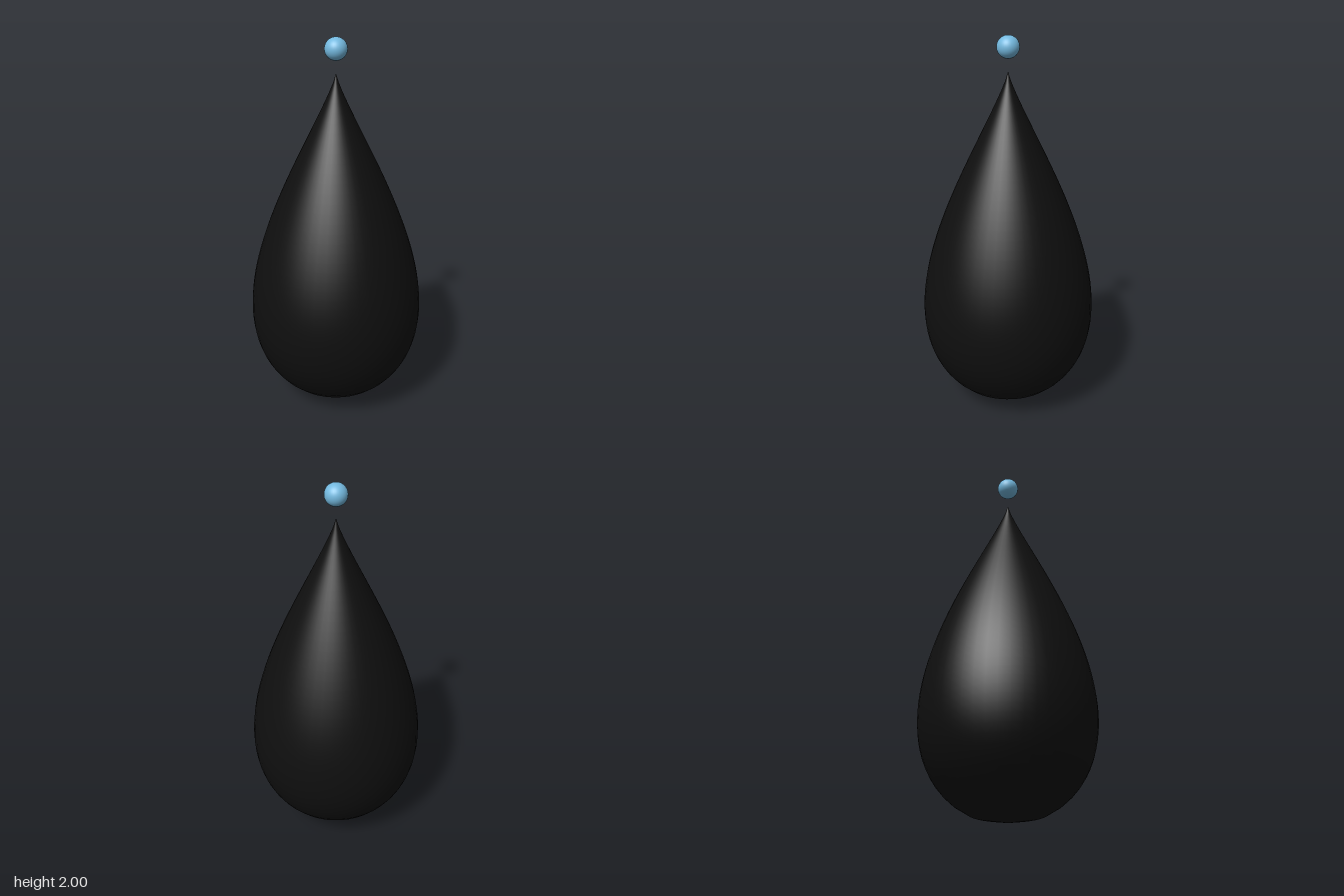
import * as THREE from 'three';

const BODY_HEIGHT = 1.82;
const BODY_RADIUS = 0.461;
const RINGS = 40;

// Teardrop outline: blunt at the base, drawn out to a fine tip.
function teardropProfile() {
  const radius = t => Math.sqrt(t) * Math.pow(1 - t, 1.22);
  const widest = radius(0.5 / 1.72);
  const points = [];
  for (let i = 0; i <= RINGS; i++) {
    const t = i / RINGS;
    const r = i === RINGS ? 0 : BODY_RADIUS * radius(t) / widest;
    points.push(new THREE.Vector2(r, t * BODY_HEIGHT));
  }
  return points;
}

export function createModel() {
  const black = new THREE.MeshStandardMaterial({ color: 0x0f0f0f });
  black.name = 'black';
  const skyBlue = new THREE.MeshStandardMaterial({ color: 0x74b9df });
  skyBlue.name = 'sky blue';

  const model = new THREE.Group();
  model.name = 'teardrop';

  // Body
  const body = new THREE.Mesh(new THREE.LatheGeometry(teardropProfile(), 48), black);
  body.name = 'body';
  model.add(body);

  // Small ball floating above the tip
  const ball = new THREE.Mesh(new THREE.SphereGeometry(0.058, 32, 24), skyBlue);
  ball.name = 'floatingBall';
  ball.position.y = 1.942;
  model.add(ball);

  return model;
}
